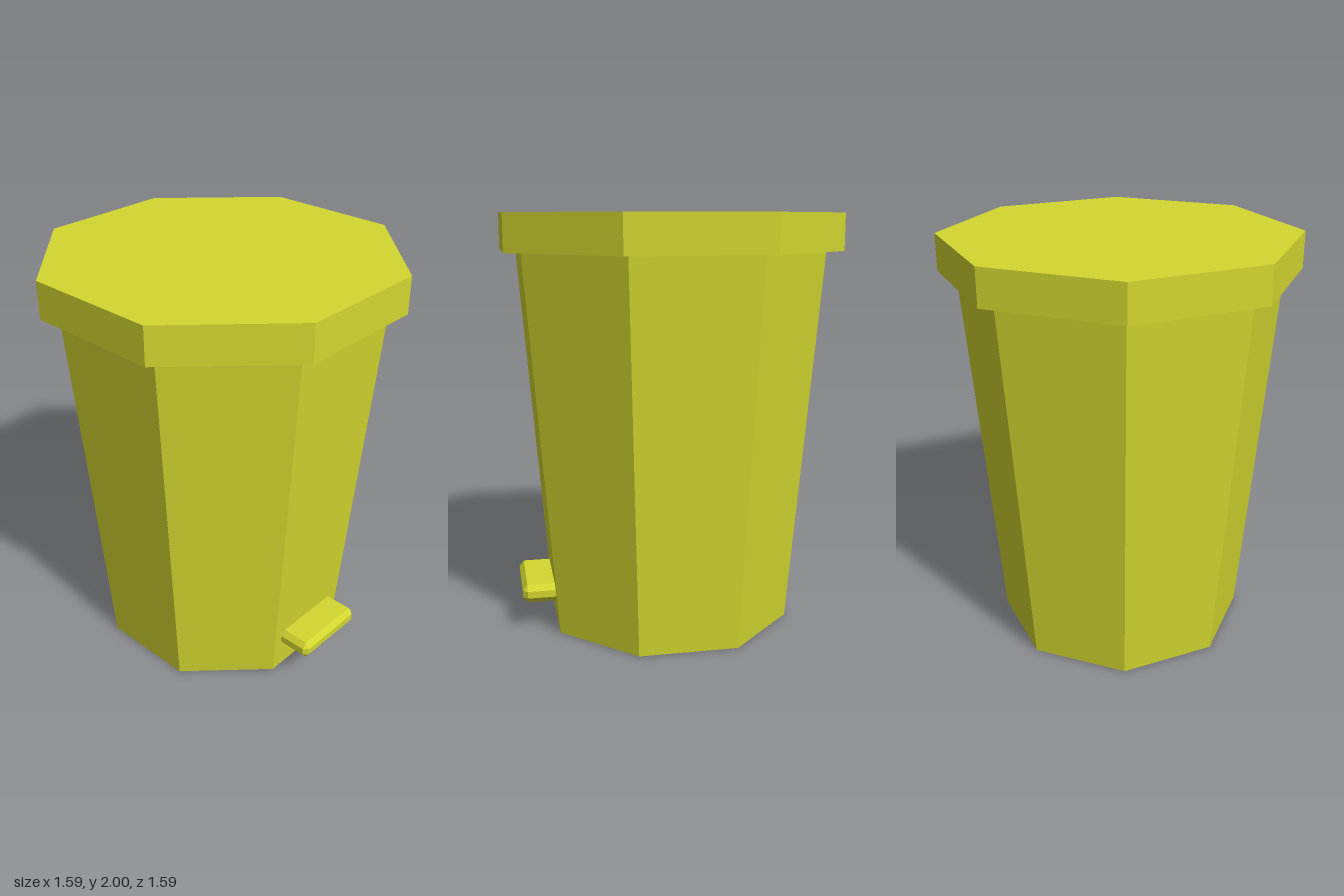
import * as THREE from 'three';
import { ConvexGeometry } from 'three/addons/geometries/ConvexGeometry.js';

// Box with chamfered edges and clipped corners (chamfer size per axis)
function chamferedBox(size, cut) {
  const points = [];
  const half = size.map((s) => s / 2);
  for (const sx of [-1, 1]) for (const sy of [-1, 1]) for (const sz of [-1, 1]) {
    for (let face = 0; face < 3; face++) {
      // each corner gives one point on each of its three faces
      const p = half.map((h, i) => (i === face ? h : h - cut[i]));
      points.push(new THREE.Vector3(sx * p[0], sy * p[1], sz * p[2]));
    }
  }
  return new ConvexGeometry(points);
}

export function createModel() {
  const yellow = new THREE.MeshStandardMaterial({ color: 0xd3d72f });
  yellow.name = 'limeYellow';
  yellow.flatShading = true;

  const bin = new THREE.Group();
  bin.name = 'pedalBin';
  const sides = 8;
  const turn = THREE.MathUtils.degToRad(1.5);

  function addPart(name, geometry, y) {
    const mesh = new THREE.Mesh(geometry, yellow);
    mesh.name = name;
    mesh.position.y = y;
    bin.add(mesh);
    return mesh;
  }

  // Tapered eight-sided body, and the wider lid on top
  const start = Math.PI / 8;
  const bodyHeight = 1.825;
  const lidHeight = 0.175;
  addPart('body', new THREE.CylinderGeometry(0.766, 0.614, bodyHeight, sides, 1, false, start), bodyHeight / 2);
  addPart('lid', new THREE.CylinderGeometry(0.849, 0.849, lidHeight, sides, 1, false, start), bodyHeight + lidHeight / 2);

  // Foot pedal sticking out of the left side
  const pedal = addPart('pedal', chamferedBox([0.24, 0.09, 0.39], [0.022, 0.028, 0.022]), 0.187);
  pedal.position.x = 0.62;

  // The whole bin is turned very slightly about its axis
  bin.rotation.y = turn;
  const model = new THREE.Group();
  model.name = 'bin';
  model.add(bin);
  return model;
}
